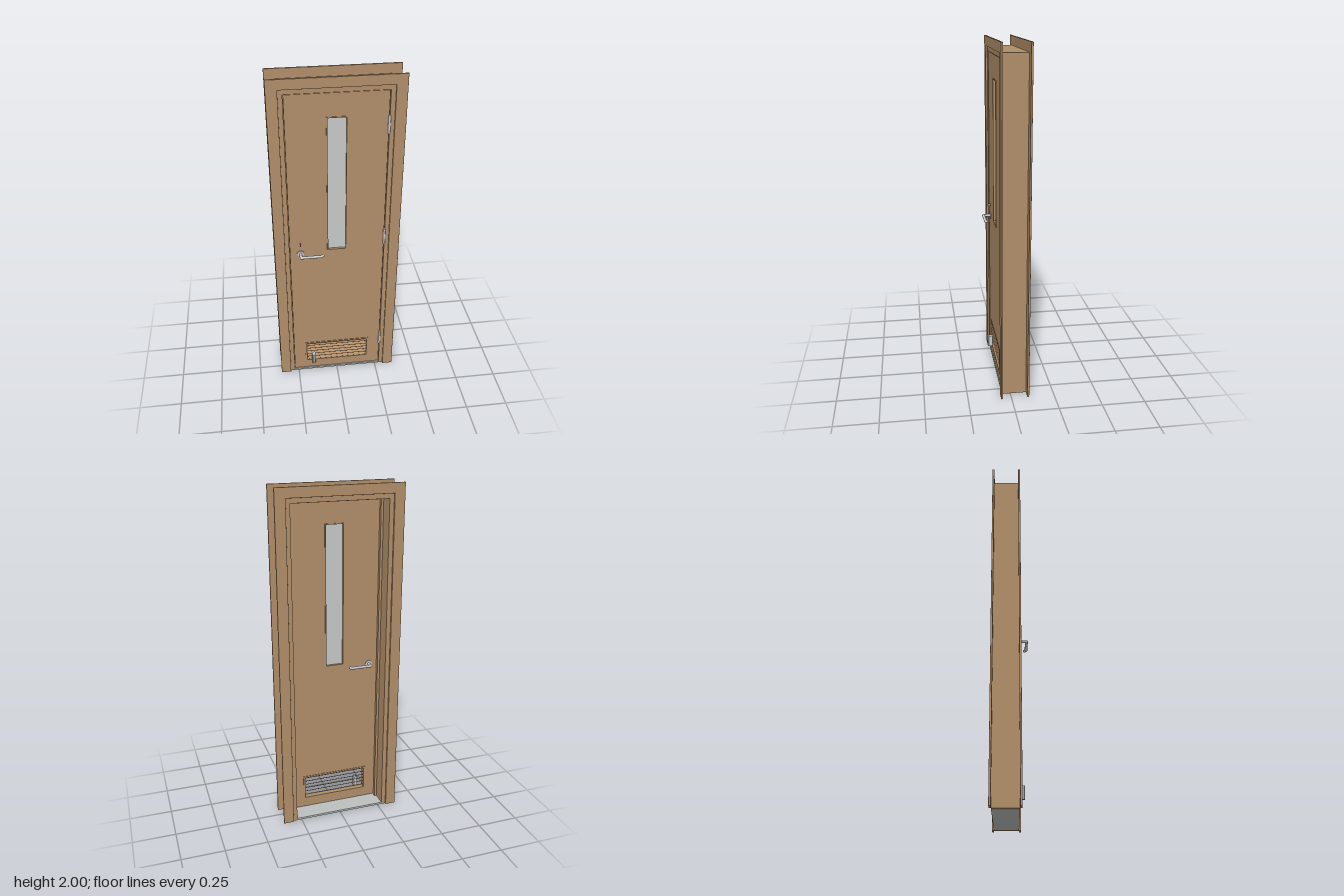
import * as THREE from 'three';

const wood = new THREE.MeshStandardMaterial({ name: 'wood', color: 0xb08e69 });
const glassGrey = new THREE.MeshStandardMaterial({ name: 'glassGrey', color: 0xc6c9c8 });
const steel = new THREE.MeshStandardMaterial({ name: 'steel', color: 0xc8ccce });
const sillGrey = new THREE.MeshStandardMaterial({ name: 'sillGrey', color: 0xbcc0bf });

const DOOR_FRONT = 0.047, DOOR_BACK = 0.015;

function add(parent, name, geometry, material) {
  const m = new THREE.Mesh(geometry, material);
  m.name = name;
  parent.add(m);
  return m;
}

// Box given by its min and max corners
function box(parent, name, material, x0, x1, y0, y1, z0, z1) {
  const m = add(parent, name, new THREE.BoxGeometry(x1 - x0, y1 - y0, z1 - z0), material);
  m.position.set((x0 + x1) / 2, (y0 + y1) / 2, (z0 + z1) / 2);
  return m;
}

// Round bar between two points
function rod(parent, name, material, a, b, r) {
  const p = new THREE.Vector3(...a), q = new THREE.Vector3(...b);
  const d = q.clone().sub(p);
  const m = add(parent, name, new THREE.CylinderGeometry(r, r, d.length(), 20), material);
  m.position.copy(p).add(q).multiplyScalar(0.5);
  m.quaternion.setFromUnitVectors(new THREE.Vector3(0, 1, 0), d.normalize());
  return m;
}

function polygon(points) {
  return new THREE.Shape(points.map(([x, y]) => new THREE.Vector2(x, y)));
}

function rect(x0, x1, y0, y1) {
  return polygon([[x0, y0], [x1, y0], [x1, y1], [x0, y1]]);
}

// U-shaped lining: two uprights and a head
function lining(parent, name, outer, inner, top, under, z0, z1) {
  for (const s of [-1, 1]) {
    const a = s * inner, b = s * outer;
    box(parent, name + 'Side', wood, Math.min(a, b), Math.max(a, b), 0, top, z0, z1);
  }
  box(parent, name + 'Head', wood, -inner, inner, under, top, z0, z1);
}

// Four bars around an opening
function surround(parent, name, x0, x1, y0, y1, w, z0, z1) {
  box(parent, name, wood, x0, x0 + w, y0, y1, z0, z1);
  box(parent, name, wood, x1 - w, x1, y0, y1, z0, z1);
  box(parent, name, wood, x0 + w, x1 - w, y0, y0 + w, z0, z1);
  box(parent, name, wood, x0 + w, x1 - w, y1 - w, y1, z0, z1);
}

// Lever handle projecting from a door face; dir is +1 front, -1 back
function leverHandle(parent, name, face, dir) {
  const g = new THREE.Group();
  g.name = name;
  const y = 0.932, x = -0.213, r = 0.008;
  const z = (d) => face + dir * d;
  rod(g, 'rose', steel, [x, y, z(0)], [x, y, z(0.005)], 0.02);
  rod(g, 'spindle', steel, [x, y, z(0)], [x, y, z(0.044)], r);
  rod(g, 'lever', steel, [x, y, z(0.044)], [-0.096, y, z(0.044)], r);
  rod(g, 'leverTip', steel, [-0.096, y, z(0.044)], [-0.083, y, z(0.032)], r);
  for (const jx of [x, -0.096]) {
    add(g, 'leverJoint', new THREE.SphereGeometry(r, 16, 12), steel).position.set(jx, y, z(0.044));
  }
  parent.add(g);
}

export function createModel() {
  const model = new THREE.Group();
  model.name = 'door';

  // Frame: jambs, stops and the casing on both faces
  const frame = new THREE.Group();
  frame.name = 'frame';
  model.add(frame);
  lining(frame, 'jamb', 0.307, 0.277, 1.945, 1.915, -0.092, 0.05);
  lining(frame, 'stop', 0.277, 0.263, 1.915, 1.901, -0.007, DOOR_BACK - 0.001);
  const e = 0.002;
  const casingShape = polygon([
    [-0.363 + e, e], [-0.302 - e, e], [-0.302 - e, 1.943 + e], [0.302 + e, 1.943 + e],
    [0.302 + e, e], [0.363 - e, e], [0.363 - e, 2 - e], [-0.363 + e, 2 - e],
  ]);
  for (const [name, z] of [['frontCasing', 0.05], ['backCasing', -0.103]]) {
    const geo = new THREE.ExtrudeGeometry(casingShape, {
      depth: 0.011 - 2 * e, bevelSize: e, bevelThickness: e, bevelSegments: 2,
    });
    geo.translate(0, 0, z + e);
    add(frame, name, geo, wood);
  }
  box(model, 'threshold', sillGrey, -0.277, 0.277, 0, 0.012, -0.092, 0.05);

  // Door leaf with openings for the window and the vent
  const leaf = new THREE.Group();
  leaf.name = 'leaf';
  model.add(leaf);
  const panel = rect(-0.274, 0.274, 0.018, 1.912);
  panel.holes.push(rect(-0.054, 0.054, 0.946, 1.778), rect(-0.195, 0.195, 0.08, 0.222));
  const panelGeo = new THREE.ExtrudeGeometry(panel, { depth: DOOR_FRONT - DOOR_BACK, bevelEnabled: false });
  panelGeo.translate(0, 0, DOOR_BACK);
  add(leaf, 'panel', panelGeo, wood);

  // Window
  box(leaf, 'glass', glassGrey, -0.054, 0.054, 0.946, 1.778, 0.027, 0.035);
  surround(leaf, 'windowBead', -0.057, 0.057, 0.943, 1.781, 0.006, 0.035, DOOR_FRONT + 0.003);
  surround(leaf, 'windowBead', -0.057, 0.057, 0.943, 1.781, 0.006, DOOR_BACK - 0.003, 0.027);

  // Vent: surround and slats sloping down to the front
  surround(leaf, 'ventSurround', -0.203, 0.203, 0.072, 0.23, 0.01, DOOR_BACK - 0.003, DOOR_FRONT + 0.003);
  for (let i = 0; i < 6; i++) {
    const y = 0.093 + i * 0.0232;
    const slat = box(leaf, 'ventSlat', wood, -0.194, 0.194, y - 0.0015, y + 0.0015, 0.014, 0.048);
    slat.rotation.x = 0.6;
  }

  // Handles and thumb turn
  leverHandle(leaf, 'frontHandle', DOOR_FRONT, 1);
  leverHandle(leaf, 'backHandle', DOOR_BACK, -1);
  box(leaf, 'thumbTurn', wood, -0.215, -0.211, 0.993, 1.007, DOOR_FRONT, 0.065);

  // Kick-down door holder with chamfered front edges
  const holder = polygon([
    [-0.162, -DOOR_FRONT], [-0.162, -0.071], [-0.157, -0.077],
    [-0.146, -0.077], [-0.141, -0.071], [-0.141, -DOOR_FRONT],
  ]);
  const holderGeo = new THREE.ExtrudeGeometry(holder, { depth: 0.07, bevelEnabled: false });
  holderGeo.rotateX(-Math.PI / 2);
  add(leaf, 'doorHolder', holderGeo, steel).position.y = 0.074;

  // Hinges
  for (const y of [0.228, 1.015, 1.722]) {
    rod(model, 'hinge', steel, [0.275, y - 0.052, 0.051], [0.275, y + 0.052, 0.051], 0.0065);
  }
  return model;
}
